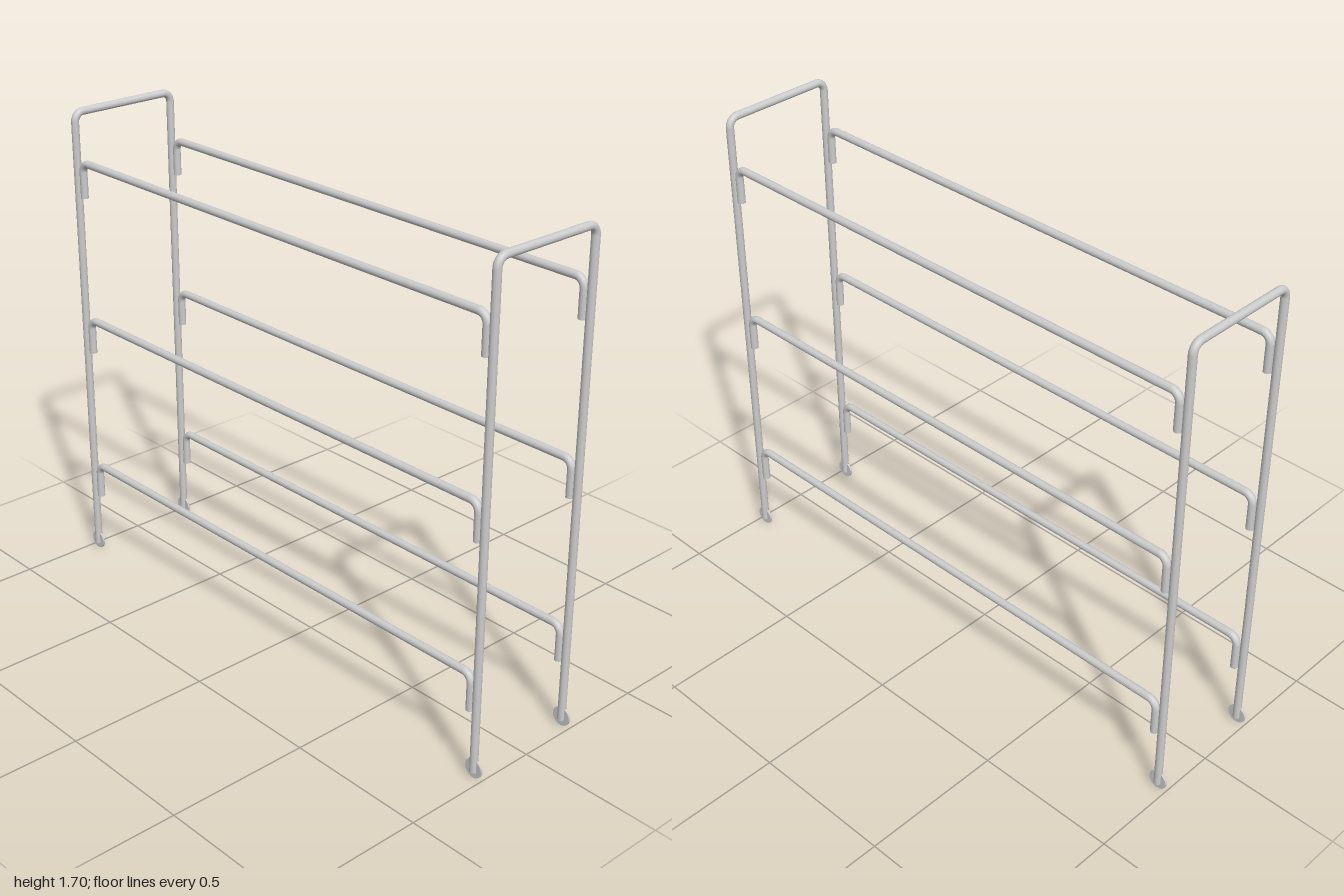
import * as THREE from 'three';
import { mergeGeometries } from 'three/addons/utils/BufferGeometryUtils.js';

const R = 0.0135; // rod radius
const material = new THREE.MeshStandardMaterial({ color: 0xcccccc });

// Path through given points, sampled point by point (dense in bends, sparse on straights)
class RodPath extends THREE.Curve {
  constructor(points) {
    super();
    this.points = points;
  }
  getPoint(t, target = new THREE.Vector3()) {
    const n = this.points.length - 1;
    const i = Math.min(Math.floor(t * n + 1e-9), n - 1);
    return target.lerpVectors(this.points[i], this.points[i + 1], t * n - i);
  }
  getPointAt(u, target) { return this.getPoint(u, target); }
  getTangentAt(u, target) { return this.getTangent(u, target); }
}

// Upside-down U of round rod in the xy plane, with rounded corners and capped feet
function bentRod(halfWidth, bottom, top, bend) {
  const points = [new THREE.Vector3(-halfWidth, bottom, 0)];
  const steps = 8;
  for (const side of [-1, 1]) {
    for (let i = 0; i <= steps; i++) {
      const a = Math.PI / 2 * (side < 0 ? i / steps : 1 - i / steps);
      points.push(new THREE.Vector3(
        side * (halfWidth - bend + bend * Math.cos(a)), top - bend + bend * Math.sin(a), 0));
    }
  }
  points.push(new THREE.Vector3(halfWidth, bottom, 0));
  const caps = [-1, 1].map((side) =>
    new THREE.CircleGeometry(R, 20).rotateX(Math.PI / 2).translate(side * halfWidth, bottom, 0));
  const tube = new THREE.TubeGeometry(new RodPath(points), points.length - 1, R, 20, false);
  return mergeGeometries([tube, ...caps]);
}

export function createModel() {
  const model = new THREE.Group();
  const add = (name, geometry, x, y, z) => {
    const mesh = new THREE.Mesh(geometry, material);
    mesh.name = name;
    mesh.position.set(x, y, z);
    model.add(mesh);
  };

  // End frames standing on thin wheels
  const frame = bentRod(0.2045, 0.022, 1.697 - R, 0.033);
  const wheel = new THREE.CylinderGeometry(0.033, 0.033, 0.007, 24).rotateZ(Math.PI / 2);
  for (const z of [0.967, -0.967]) {
    const end = z > 0 ? 'front' : 'back';
    add(`${end}Frame`, frame, -0.002, 0, z);
    for (const side of [1, -1]) {
      add(`${end}${side > 0 ? 'Left' : 'Right'}Wheel`, wheel, side * 0.2045 - 0.002, 0.033, z);
    }
  }

  // Three rails per side, their bent ends resting against the frames
  const rail = bentRod(0.938, -0.126, 0, 0.032).rotateY(Math.PI / 2);
  for (const side of [1, -1]) {
    [0.356, 0.934, 1.513].forEach((y, i) => {
      add(`${side > 0 ? 'left' : 'right'}Rail${i + 1}`, rail, side * 0.2035, y, 0);
    });
  }
  return model;
}
